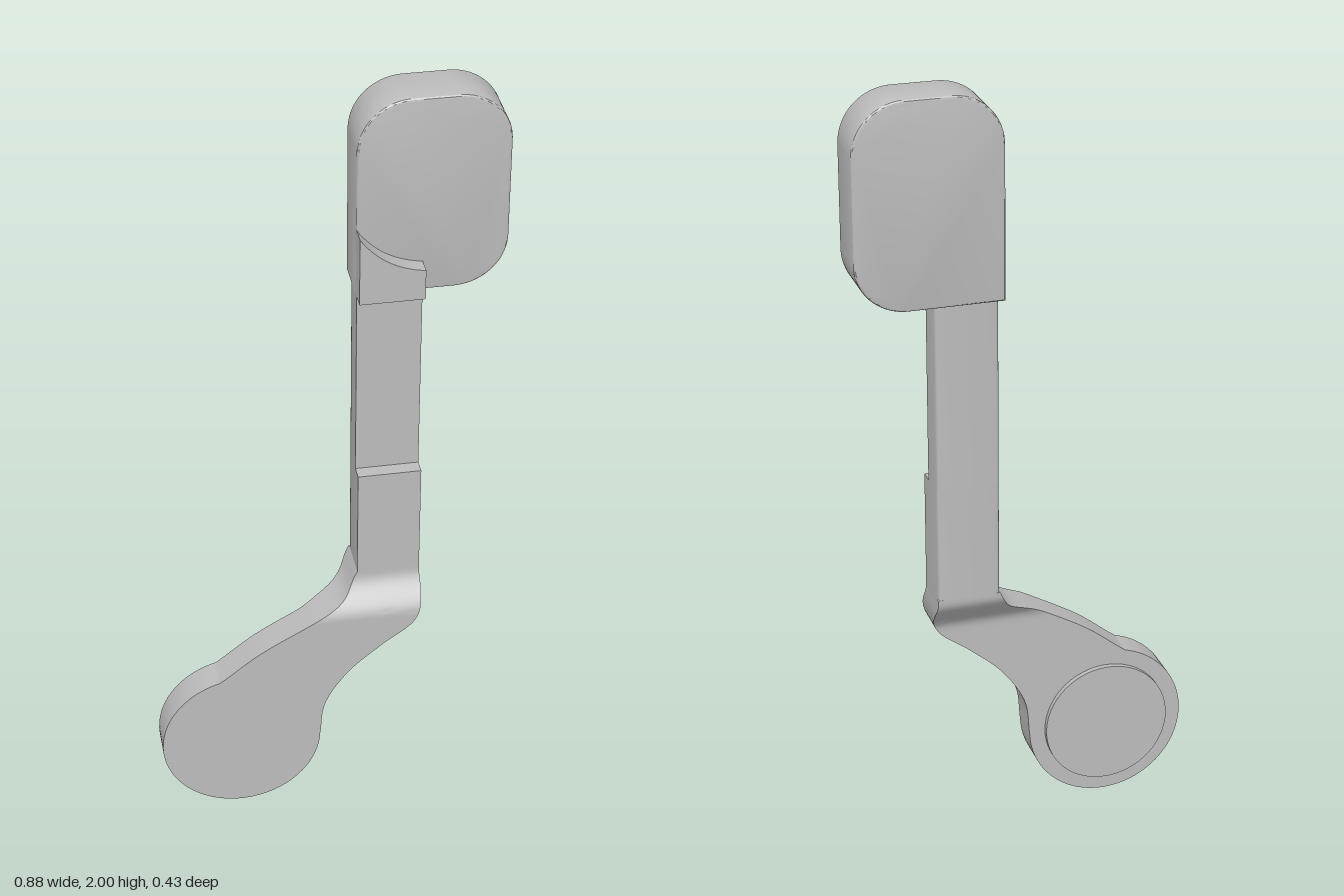
import * as THREE from 'three';
import { toCreasedNormals } from 'three/addons/utils/BufferGeometryUtils.js';

const steel = new THREE.MeshStandardMaterial({ color: 0xbcbcbc });
steel.name = 'plain grey';

// Stem and plate limits: x sides, and depths of the back and front faces
const X0 = 0.066, X1 = 0.226;
const STEM_BACK = -0.073, STEM_FRONT = 0.043, PLATE_BACK = 0.014, PLATE_FRONT = 0.099;

function part(group, name, geometry) {
  const mesh = new THREE.Mesh(toCreasedNormals(geometry, 0.5), steel);
  mesh.name = name;
  group.add(mesh);
  return mesh;
}

// Outline in x, y extruded between two depths, with an optional small bevel
function slab(shape, back, front, bevel = 0) {
  return new THREE.ExtrudeGeometry(shape, {
    depth: front - back - 2 * bevel, curveSegments: 16,
    bevelEnabled: bevel > 0, bevelSize: bevel, bevelOffset: -bevel,
    bevelThickness: bevel, bevelSegments: 3,
  }).translate(0, 0, back + bevel);
}

// Upright bar with softened back edges
function bar(y0, y1, front) {
  const c = 0.012, s = new THREE.Shape();
  s.moveTo(X0, -front);
  s.lineTo(X1, -front);
  s.lineTo(X1, -STEM_BACK - c);
  s.quadraticCurveTo(X1, -STEM_BACK, X1 - c, -STEM_BACK);
  s.lineTo(X0 + c, -STEM_BACK);
  s.quadraticCurveTo(X0, -STEM_BACK, X0, -STEM_BACK - c);
  s.closePath();
  return new THREE.ExtrudeGeometry(s, { depth: y1 - y0, bevelEnabled: false, curveSegments: 4 })
    .rotateX(-Math.PI / 2).translate(0, y0, 0);
}

// Curved arm: rows between a left and a right edge, set back by height
function armGeometry() {
  const edge = (pts) => new THREE.CatmullRomCurve3(pts.map(([x, y]) => new THREE.Vector3(x, y, 0)));
  const left = edge([[-0.4, 0.345], [-0.3, 0.41], [-0.196, 0.49], [-0.058, 0.57], [0.03, 0.62], [X0, 0.68]]);
  const right = edge([[-0.04, 0.2], [-0.027, 0.3], [0.035, 0.4], [0.124, 0.48], [0.205, 0.545], [X1, 0.61], [X1, 0.68]]);
  const rows = 40, cols = 10, ring = 2 * (cols + 1);
  const positions = [], index = [];
  for (let i = 0; i <= rows; i++) {
    const a = left.getPoint(i / rows), b = right.getPoint(i / rows);
    for (let j = 0; j < ring; j++) {
      const isFront = j <= cols;
      const p = a.clone().lerp(b, isFront ? j / cols : (ring - 1 - j) / cols);
      const z = isFront
        ? THREE.MathUtils.lerp(PLATE_FRONT, STEM_FRONT, THREE.MathUtils.smoothstep(p.y, 0.57, 0.67))
        : THREE.MathUtils.lerp(PLATE_BACK, STEM_BACK, THREE.MathUtils.smoothstep(p.y, 0.55, 0.67));
      positions.push(p.x, p.y, z);
      if (i < rows) {
        const k = i * ring + j, n = i * ring + (j + 1) % ring;
        index.push(k, n, n + ring, k, n + ring, k + ring);
      }
    }
  }
  const g = new THREE.BufferGeometry();
  g.setAttribute('position', new THREE.Float32BufferAttribute(positions, 3));
  g.setIndex(index);
  return g;
}

function disc(radius, back, front) {
  return new THREE.CylinderGeometry(radius, radius, front - back, 64)
    .rotateX(Math.PI / 2).translate(-0.248, 0.208, (back + front) / 2);
}

export function createModel() {
  const group = new THREE.Group();
  group.name = 'lever';
  const body = new THREE.Group();
  body.name = 'leverBody';
  body.rotation.y = -Math.PI / 6;
  group.add(body);

  // Round lower end with a raised boss on its back
  part(body, 'roundEnd', disc(0.208, PLATE_BACK, PLATE_FRONT));
  part(body, 'backBoss', disc(0.166, 0, PLATE_BACK + 0.01));

  // Bent arm and stepped stem
  part(body, 'curvedArm', armGeometry());
  part(body, 'lowerStem', bar(0.68, 0.98, STEM_FRONT));
  part(body, 'upperStem', bar(0.98, 1.5, 0.006));

  // Head pad: three round corners, one square
  const l = X0, r = 0.434, b = 1.485, t = 2, c = 0.13;
  const pad = new THREE.Shape();
  pad.moveTo(l, b);
  pad.lineTo(r - c, b);
  pad.absarc(r - c, b + c, c, -Math.PI / 2, 0);
  pad.absarc(r - c, t - c, c, 0, Math.PI / 2);
  pad.absarc(l + c, t - c, c, Math.PI / 2, Math.PI);
  pad.closePath();
  part(body, 'headPad', slab(pad, -0.132, 0, 0.008));

  // Small block in front of the pad with a hollow top
  const block = new THREE.Shape();
  block.moveTo(X0, b);
  block.lineTo(X1, b);
  block.lineTo(X1, 1.565);
  block.quadraticCurveTo(0.125, 1.578, X0, 1.665);
  block.closePath();
  part(body, 'frontBlock', slab(block, -0.02, STEM_FRONT));

  return group;
}
